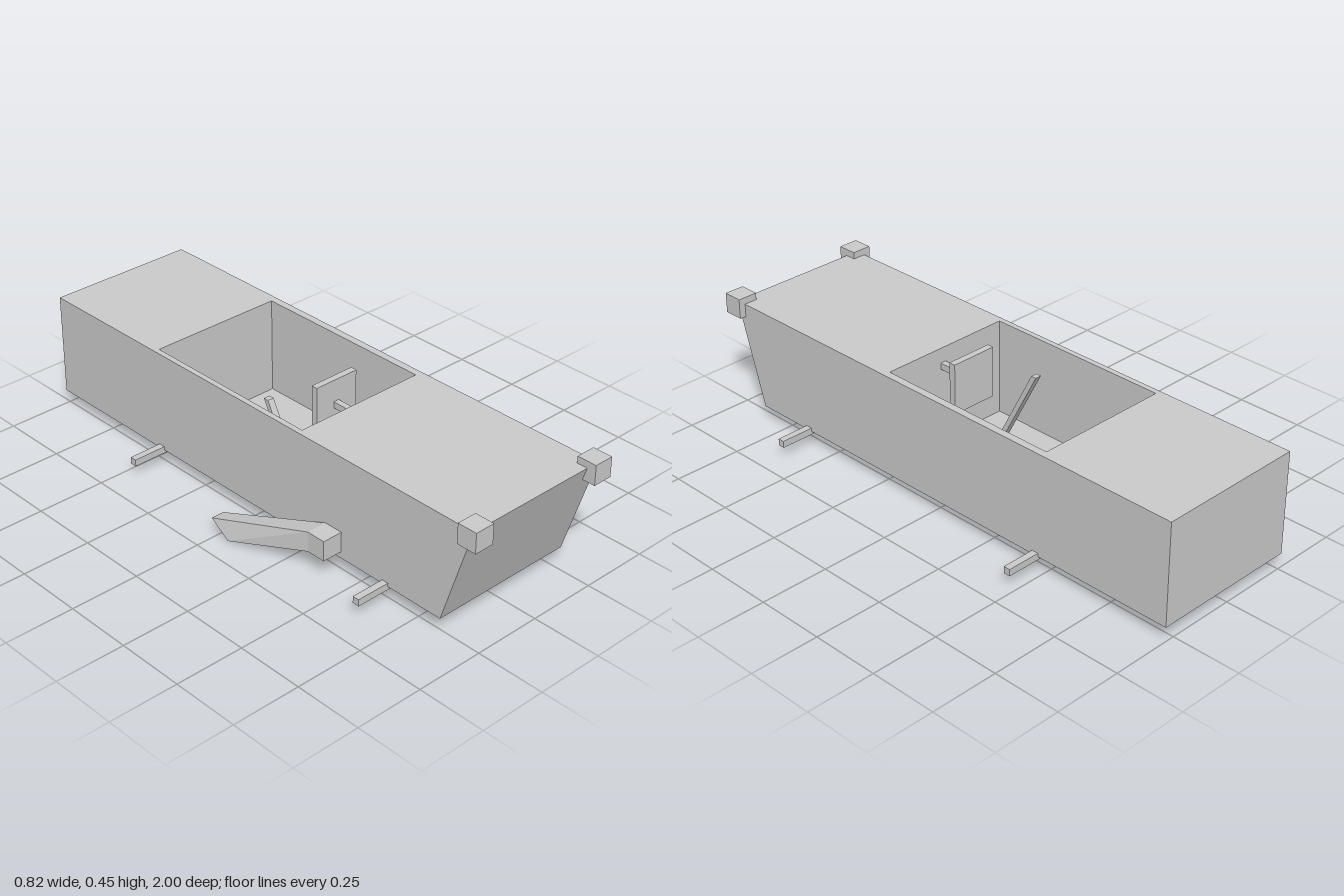
import * as THREE from 'three';

const material = new THREE.MeshStandardMaterial({ color: 0xcccccc, flatShading: true });

function add(group, name, geometry) {
  const mesh = new THREE.Mesh(geometry, material);
  mesh.name = name;
  group.add(mesh);
  return mesh;
}

// Box given by its limits along each axis
function box(group, name, [x0, x1], [y0, y1], [z0, z1]) {
  const mesh = add(group, name, new THREE.BoxGeometry(x1 - x0, y1 - y0, z1 - z0));
  mesh.position.set((x0 + x1) / 2, (y0 + y1) / 2, (z0 + z1) / 2);
}

// Box whose corners are placed by a rule: corner(right, top, front) -> [x, y, z]
function skewedBox(group, name, corner) {
  const geometry = new THREE.BoxGeometry(1, 1, 1).toNonIndexed();
  const p = geometry.attributes.position;
  for (let i = 0; i < p.count; i++) {
    p.setXYZ(i, ...corner(p.getX(i) > 0, p.getY(i) > 0, p.getZ(i) > 0));
  }
  geometry.computeVertexNormals();
  add(group, name, geometry);
}

function rectangle(path, x0, x1, z0, z1) {
  path.moveTo(x0, -z1);
  path.lineTo(x1, -z1);
  path.lineTo(x1, -z0);
  path.lineTo(x0, -z0);
  path.closePath();
  return path;
}

export function createModel() {
  const model = new THREE.Group();
  model.name = 'cart';

  // Hull with an open cockpit; the nose slopes back towards the bottom
  const bottom = 0.052, top = 0.425;
  const outline = rectangle(new THREE.Shape(), -0.263, 0.287, -1, 0.967);
  outline.holes.push(rectangle(new THREE.Path(), -0.243, 0.26, -0.48, 0.22));
  const hull = new THREE.ExtrudeGeometry(outline, { depth: top - bottom, bevelEnabled: false });
  hull.rotateX(-Math.PI / 2).translate(0, bottom, 0);
  const p = hull.attributes.position;
  for (let i = 0; i < p.count; i++) {
    if (p.getZ(i) > 0.9 && p.getY(i) < 0.2) p.setZ(i, 0.85);
  }
  hull.computeVertexNormals();
  add(model, 'hull', hull);
  box(model, 'cockpitFloor', [-0.243, 0.26], [bottom, 0.072], [-0.48, 0.22]);

  // Axles
  for (const [name, z] of [['frontAxle', 0.615], ['rearAxle', -0.463]]) {
    box(model, name, [-0.388, 0.412], [0.04, 0.065], [z - 0.0125, z + 0.0125]);
  }

  // Headlights on the upper front corners
  box(model, 'rightHeadlight', [-0.288, -0.214], [0.377, 0.45], [0.927, 1]);
  box(model, 'leftHeadlight', [0.237, 0.311], [0.377, 0.45], [0.927, 1]);

  // Steering plate and column
  box(model, 'steeringWheel', [-0.064, 0.111], [0.265, 0.45], [0.072, 0.096]);
  box(model, 'steeringColumn', [0.011, 0.033], [0.347, 0.37], [0.096, 0.22]);

  // Lever in the cockpit, leaning back
  skewedBox(model, 'cockpitLever', (right, up, front) => [
    right ? -0.115 : -0.139,
    up ? 0.37 : 0.072,
    (up ? -0.075 : 0.08) + (front ? 0.02 : 0),
  ]);

  // Outer brake lever: mount block and tapered arm
  box(model, 'brakeMount', [-0.338, -0.263], [0.076, 0.15], [0.348, 0.42]);
  skewedBox(model, 'brakeArm', (right, up, front) => front
    ? [right ? -0.263 : -0.338, up ? 0.15 : 0.076, 0.348]
    : [right ? -0.364 : -0.413, up ? 0.052 : 0, up ? -0.027 : 0.05]);

  return model;
}
